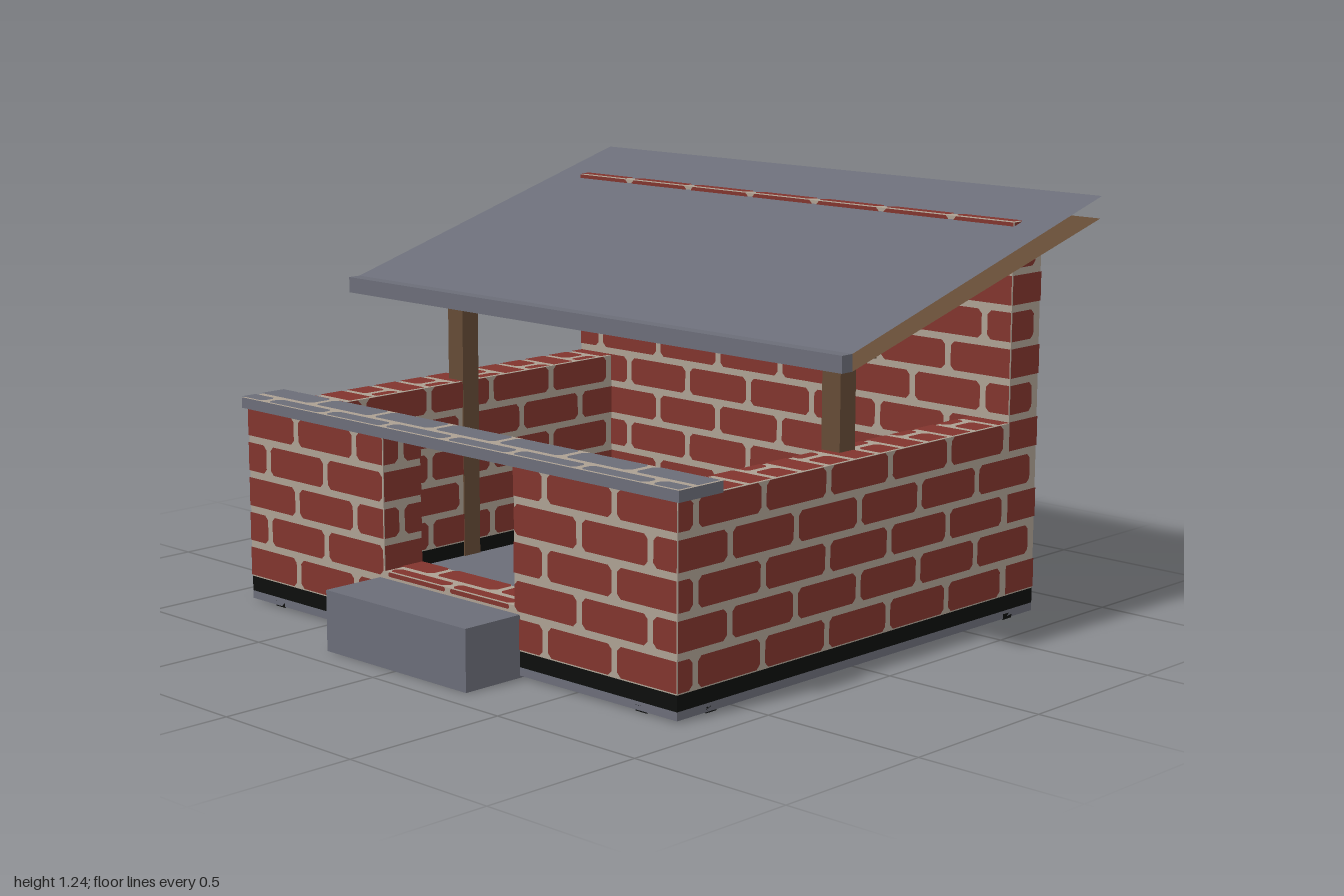
import * as THREE from 'three';
import { mergeGeometries } from 'three/addons/utils/BufferGeometryUtils.js';

const mat = (name, color, side = THREE.FrontSide) => {
  const m = new THREE.MeshStandardMaterial({ color, side });
  m.name = name;
  return m;
};

// Flat brick faces in the rectangle u0..u1, v0..v1, laid in running bond
const PITCH_U = 0.262, PITCH_V = 0.107, JOINT = 0.021, CHAMFER = 0.013;
function brickShapes(u0, u1, v0, v1, phaseV) {
  const shapes = [];
  const first = Math.floor((v0 - phaseV) / PITCH_V);
  for (let row = first; phaseV + row * PITCH_V < v1; row++) {
    const rowBottom = phaseV + row * PITCH_V;
    const b = Math.max(rowBottom, v0), t = Math.min(rowBottom + PITCH_V - JOINT, v1);
    if (t - b < 0.012) continue;
    const shift = row % 2 === 0 ? PITCH_U / 2 : 0;
    for (let k = Math.floor((u0 - shift) / PITCH_U); shift + k * PITCH_U < u1; k++) {
      const start = shift + k * PITCH_U + JOINT / 2, end = start + PITCH_U - JOINT;
      const l = Math.max(start, u0), r = Math.min(end, u1);
      if (r - l < 0.012) continue;
      // corners are only cut where the brick is whole
      const c = Math.min(CHAMFER, (t - b) / 3, (r - l) / 3);
      const cl = l === start ? c : 0, cr = r === end ? c : 0;
      const pts = [[l + cl, b], [r - cr, b]];
      if (cr) pts.push([r, b + cr], [r, t - cr]);
      pts.push([r - cr, t], [l + cl, t]);
      if (cl) pts.push([l, t - cl], [l, b + cl]);
      shapes.push(new THREE.Shape(pts.map(([x, y]) => new THREE.Vector2(x, y))));
    }
  }
  return shapes;
}

export function createModel() {
  const root = new THREE.Group();
  root.name = 'brickShelter';

  const brick = mat('brick red', 0x81342d);
  const mortar = mat('mortar', 0xaca092);
  const stone = mat('slate grey', 0x6b6d78);
  const sheet = mat('roof grey', 0x6b6d78, THREE.DoubleSide);
  const black = mat('damp course black', 0x0d0e0d);
  const wood = mat('wood brown', 0x644b36);
  const lining = mat('roof lining brown', 0x644b36, THREE.DoubleSide);

  const add = (name, geometry, material, parent = root) => {
    const m = new THREE.Mesh(geometry, material);
    m.name = name;
    parent.add(m);
    return m;
  };
  const boxGeo = (x0, x1, y0, y1, z0, z1) =>
    new THREE.BoxGeometry(x1 - x0, y1 - y0, z1 - z0)
      .translate((x0 + x1) / 2, (y0 + y1) / 2, (z0 + z1) / 2);
  const box = (name, material, ...b) => add(name, boxGeo(...b), material);

  const E = 0.003, PHASE = 0.08, TOP_PHASE = -0.66;
  const topBricks = (x0, x1, y, z0, z1) =>
    new THREE.ShapeGeometry(brickShapes(x0, x1, -z1, -z0, TOP_PHASE))
      .rotateX(-Math.PI / 2).translate(0, y + E, 0);

  // Mortar core with brick faces on its sides and top, on a black base course
  const BASE = 0.075, SLAB = 0.03;
  function wall(name, x0, x1, y1, z0, z1) {
    const g = new THREE.Group();
    g.name = name;
    root.add(g);
    add('mortarCore', boxGeo(x0, x1, BASE, y1, z0, z1), mortar, g);
    add('dampCourse', boxGeo(x0, x1, SLAB, BASE, z0, z1), black, g);
    const face = (u0, u1) => new THREE.ShapeGeometry(brickShapes(u0, u1, BASE, y1, PHASE));
    add('bricks', mergeGeometries([
      face(x0, x1).translate(0, 0, z1 + E),
      face(-x1, -x0).rotateY(Math.PI).translate(0, 0, z0 - E),
      face(-z1, -z0).rotateY(Math.PI / 2).translate(x1 + E, 0, 0),
      face(z0, z1).rotateY(-Math.PI / 2).translate(x0 - E, 0, 0),
      topBricks(x0, x1, y1, z0, z1),
    ]), brick, g);
  }

  const W = 0.88, IN = 0.74, FRONT = 0.72, FRONT_IN = 0.58, BACK_IN = -0.673, BACK = -0.807;
  wall('backWall', -W, W, 1.176, BACK, BACK_IN);
  wall('leftWall', IN, W, 0.59, BACK_IN, FRONT);
  wall('rightWall', -W, -IN, 0.59, BACK_IN, FRONT);
  wall('frontWallLeft', 0.27, IN, 0.59, FRONT_IN, FRONT);
  wall('frontWallRight', -IN, -0.27, 0.59, FRONT_IN, FRONT);
  wall('doorSill', -0.27, 0.27, 0.2, FRONT_IN, FRONT);

  // Floor slab, step and the black strips under the slab
  box('floorSlab', stone, -W, W, 0.006, SLAB, BACK, FRONT);
  box('step', stone, -0.29, 0.29, 0, 0.178, 0.49, 0.92);
  for (const s of [-1, 1])
    box('underStripSide', black, s * 0.75 - 0.02, s * 0.75 + 0.02, 0.003, 0.02, BACK, FRONT);
  for (const z of [0.59, -0.69])
    box('underStripCross', black, -W, W, 0.003, 0.02, z - 0.02, z + 0.02);

  // Coping over the front wall, with a paved top
  box('coping', [stone, stone, mortar, stone, stone, stone], -0.895, 0.895, 0.59, 0.622, 0.564, 0.732);
  add('copingPavers', topBricks(-0.895, 0.895, 0.622, 0.564, 0.732), stone);

  // Posts and the beam they carry
  for (const s of [-1, 1])
    box('post', wood, s * 0.768 - 0.033, s * 0.768 + 0.033, 0.002, 0.945, -0.075, -0.01);
  box('beam', wood, -W, W, 0.86, 0.912, -0.066, 0.013);

  // Sloping roof: two open sheets behind a front fascia
  const slope = (name, material, yFront, yBack, zBack) => {
    const g = new THREE.PlaneGeometry(2, 1);
    const p = g.attributes.position;
    for (let i = 0; i < p.count; i++) {
      const back = p.getY(i) > 0;
      p.setXYZ(i, p.getX(i), back ? yBack : yFront, back ? zBack : 0.18);
    }
    g.computeVertexNormals();
    add(name, g, material);
  };
  slope('roofSheet', sheet, 0.918, 1.24, -0.93);
  slope('roofLining', lining, 0.87, 1.175, -0.925);
  box('fascia', stone, -1, 1, 0.87, 0.918, 0.18, 0.222);

  return root;
}
